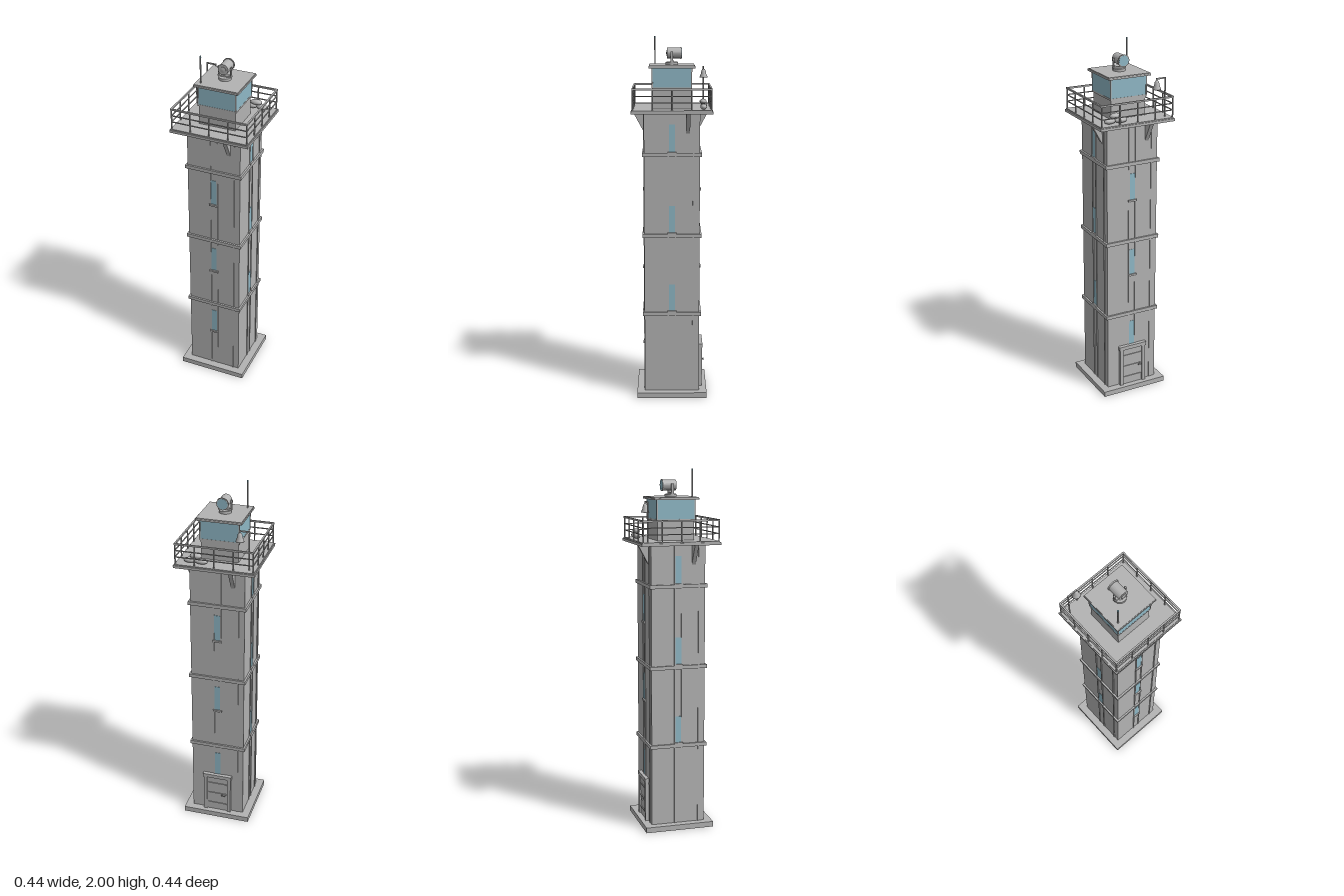
import * as THREE from 'three';

const mat = (name, color, opts = {}) => {
  const m = new THREE.MeshStandardMaterial({ color, ...opts });
  m.name = name;
  return m;
};

export function createModel() {
  const concrete = mat('concrete grey', 0xb3b3b3);
  const glass = mat('window blue', 0x8fb8c6);
  const tower = new THREE.Group();
  tower.name = 'watchtower';

  const add = (parent, name, geo, x, y, z, m = concrete) => {
    const mesh = new THREE.Mesh(geo, m);
    mesh.name = name;
    mesh.position.set(x, y, z);
    parent.add(mesh);
    return mesh;
  };
  // Box given by its centre in x and z and its bottom and top heights
  const box = (parent, name, w, d, y0, y1, x = 0, z = 0, m = concrete) =>
    add(parent, name, new THREE.BoxGeometry(w, y1 - y0, d), x, (y0 + y1) / 2, z, m);
  const rod = (parent, name, r, y0, y1, x, z, m = concrete, r2 = r) =>
    add(parent, name, new THREE.CylinderGeometry(r2, r, y1 - y0, 12), x, (y0 + y1) / 2, z, m);

  // Shaft, plinth, storey bands
  box(tower, 'plinth', 0.39, 0.39, 0, 0.03);
  box(tower, 'shaft', 0.304, 0.304, 0.03, 1.6);
  for (const y of [0.481, 0.926, 1.374]) box(tower, 'storeyBand', 0.324, 0.324, y - 0.01, y + 0.01);

  // Gallery deck with a slim raised lip
  box(tower, 'galleryDeck', 0.44, 0.44, 1.598, 1.612);
  box(tower, 'galleryFloor', 0.43, 0.43, 1.612, 1.618);

  // Bracket profile: wall on the left, deck on top
  const bracketShape = new THREE.Shape();
  bracketShape.moveTo(0, 1.49);
  bracketShape.lineTo(0.058, 1.598);
  bracketShape.lineTo(0, 1.598);
  const bracketGeo = new THREE.ExtrudeGeometry(bracketShape, { depth: 0.022, bevelEnabled: false });

  // Details that repeat around the four faces
  for (let k = 0; k < 4; k++) {
    const side = new THREE.Group();
    side.name = ['frontSide', 'leftSide', 'backSide', 'rightSide'][k];
    side.rotation.y = (k * Math.PI) / 2;
    tower.add(side);

    for (const x of [-0.02, 0.02, 0.117]) box(side, 'wallRib', 0.007, 0.006, 0.03, 1.598, x, 0.153);

    // Windows climb in a staggered order
    const shift = k % 2 ? 0.221 : 0;
    for (let i = 0; i < 3; i++) {
      const y = 0.275 + shift + i * 0.445;
      box(side, 'slitWindow', 0.034, 0.004, y, y + 0.152, 0, 0.152, glass);
      box(side, 'windowSill', 0.05, 0.012, y - 0.008, y + 0.003, 0, 0.156);
    }

    const bracket = add(side, 'galleryBracket', bracketGeo, 0.077, 0, 0.152);
    bracket.rotation.y = -Math.PI / 2;
    bracket.position.x = 0.098;

    // Railing
    for (let i = 0; i < 4; i++) rod(side, 'railPost', 0.004, 1.618, 1.73, -0.21 + i * 0.105, 0.21);
    for (const [y, t] of [[1.73, 0.009], [1.694, 0.005], [1.658, 0.005]])
      box(side, 'handrail', 0.425, t, y - t / 2, y + t / 2, 0, 0.21);

    // Cabin glazing and corner mullion
    box(side, 'cabinWindow', 0.206, 0.004, 1.732, 1.836, 0, 0.105, glass);
    box(side, 'cabinMullion', 0.006, 0.006, 1.73, 1.838, 0.106, 0.106);
  }

  // Lookout cabin
  box(tower, 'cabinWall', 0.206, 0.206, 1.618, 1.725);
  box(tower, 'cabinSill', 0.216, 0.216, 1.722, 1.732);
  box(tower, 'cabinRoof', 0.25, 0.25, 1.836, 1.846);
  box(tower, 'cabinRoofTop', 0.244, 0.244, 1.846, 1.85);

  // Aerial
  rod(tower, 'aerial', 0.004, 1.85, 1.99, -0.095, 0.093);
  rod(tower, 'aerialTip', 0.0045, 1.99, 2.0, -0.095, 0.093, glass);

  // Searchlight pointing to the back
  const lamp = new THREE.Group();
  lamp.name = 'searchlight';
  tower.add(lamp);
  rod(lamp, 'lampBase', 0.034, 1.85, 1.864, 0, 0);
  box(lamp, 'lampYoke', 0.076, 0.016, 1.864, 1.872);
  for (const s of [-1, 1]) {
    box(lamp, 'yokeArm', 0.005, 0.014, 1.868, 1.92, s * 0.034, 0);
    add(lamp, 'pivotKnob', new THREE.CylinderGeometry(0.007, 0.007, 0.008, 10), s * 0.036, 1.912, 0).rotation.z = Math.PI / 2;
  }
  const drumProfile = [[0, -0.031], [0.016, -0.029], [0.016, -0.026], [0.029, -0.026], [0.029, 0.046], [0.033, 0.046],
    [0.033, 0.053], [0.028, 0.053], [0.028, 0.05], [0, 0.05]].map(([r, h]) => new THREE.Vector2(r, h));
  const drumGeo = new THREE.LatheGeometry(drumProfile, 24).toNonIndexed();
  drumGeo.computeVertexNormals();
  add(lamp, 'lampDrum', drumGeo, 0, 1.912, 0).rotation.x = -Math.PI / 2;
  add(lamp, 'lampLens', new THREE.CylinderGeometry(0.028, 0.028, 0.004, 24), 0, 1.912, -0.052, glass).rotation.x = Math.PI / 2;

  // Alarm bell on a hooked pole
  rod(tower, 'bellPole', 0.004, 1.618, 1.83, -0.18, -0.178);
  box(tower, 'bellArm', 0.056, 0.007, 1.825, 1.832, -0.155, -0.178);
  rod(tower, 'bellHanger', 0.003, 1.815, 1.828, -0.13, -0.178);
  const bellProfile = [[0, 0], [0.016, 0], [0.023, 0], [0.021, 0.006], [0.015, 0.02], [0.012, 0.037], [0.007, 0.046], [0, 0.048]]
    .map(([r, h]) => new THREE.Vector2(r, h));
  add(tower, 'bell', new THREE.LatheGeometry(bellProfile, 16), -0.13, 1.772, -0.178);

  // Sandbags
  const bagGeo = new THREE.SphereGeometry(1, 12, 8);
  for (const [x, y, z, rx, rz] of [[0.08, 1.633, -0.173, 0.037, 0.019], [0.144, 1.633, -0.17, 0.033, 0.018], [0.11, 1.658, -0.168, 0.034, 0.019]])
    add(tower, 'sandbag', bagGeo, x, y, z).scale.set(rx, 0.015, rz);

  // Door at the back, built facing front and turned round
  const door = new THREE.Group();
  door.name = 'door';
  door.rotation.y = Math.PI;
  tower.add(door);
  box(door, 'doorLeaf', 0.124, 0.012, 0.03, 0.255, 0, 0.157);
  for (const s of [-1, 1]) box(door, 'doorJamb', 0.02, 0.022, 0.03, 0.262, s * 0.071, 0.16);
  box(door, 'doorLintel', 0.17, 0.025, 0.258, 0.28, 0, 0.161);
  for (const y of [0.075, 0.145, 0.215]) box(door, 'doorBatten', 0.11, 0.005, y - 0.004, y + 0.004, 0, 0.165);
  box(door, 'doorHandle', 0.022, 0.006, 0.143, 0.151, 0.04, 0.181);
  box(door, 'handleStem', 0.006, 0.018, 0.144, 0.15, 0.048, 0.171);

  return tower;
}
